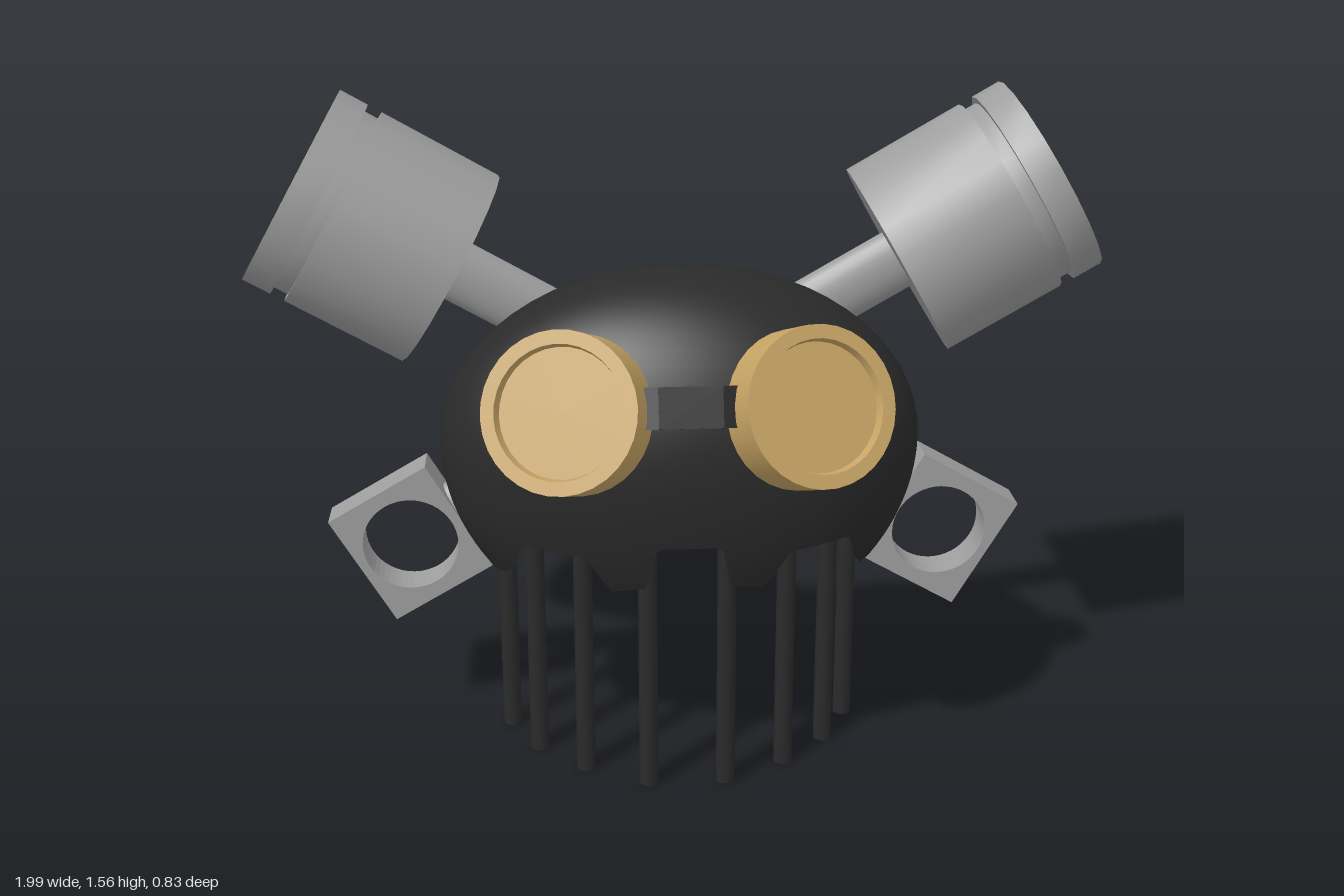
import * as THREE from 'three';
import { toCreasedNormals } from 'three/addons/utils/BufferGeometryUtils.js';

const V2 = (x, y) => new THREE.Vector2(x, y);
const V3 = (x, y, z) => new THREE.Vector3(x, y, z);

// Head dimensions: ellipsoid cut flat at the back
const MID = 0.78, TOP = 0.405, LOW = 0.5, RX = 0.555, RZ = 0.33, BACK = -0.125, FLOOR = 0.63;

function named(name, geometry, material, parent) {
  const mesh = new THREE.Mesh(geometry, material);
  mesh.name = name;
  parent.add(mesh);
  return mesh;
}

// Point on the head at height y; u runs from the left back edge round the front to the right one
function headPoint(y, u) {
  const k = (y - MID) / (y > MID ? TOP : LOW);
  const f = Math.sqrt(Math.max(0, 1 - k * k));
  const start = f < 1e-4 ? -Math.PI / 2 : Math.asin(Math.max(-1, BACK / (RZ * f)));
  const a = start + u * (Math.PI - 2 * start);
  return V3(RX * f * Math.cos(a), y, RZ * f * Math.sin(a));
}

// Ragged lower edge: angle from the front centre, height
const HEM = [[0, 0.63], [0.14, 0.63], [0.2, 0.52], [0.38, 0.505], [0.47, 0.6],
  [0.8, 0.61], [0.92, 0.54], [1.1, 0.5], [3, 0.5]];
function hemHeight(u) {
  const a = Math.abs(u - 0.5) * 4.07;
  const i = HEM.findIndex(p => p[0] > a);
  const [a0, y0] = HEM[i - 1], [a1, y1] = HEM[i];
  return y0 + (y1 - y0) * (a - a0) / (a1 - a0);
}

function headShell() {
  const cols = 140, upper = 16, lower = 12, pos = [], index = [];
  for (let i = 0; i <= upper + lower; i++) {
    for (let j = 0; j <= cols; j++) {
      const u = j / cols;
      const y = i <= upper
        ? MID + TOP * Math.cos(i / upper * Math.PI / 2)
        : MID + (hemHeight(u) - MID) * (i - upper) / lower;
      pos.push(...headPoint(y, u).toArray());
      if (i < upper + lower && j < cols) {
        const a = i * (cols + 1) + j, c = a + cols + 1;
        index.push(a, a + 1, c + 1, a, c + 1, c);
      }
    }
  }
  const g = new THREE.BufferGeometry();
  g.setAttribute('position', new THREE.Float32BufferAttribute(pos, 3));
  g.setIndex(index);
  g.computeVertexNormals();
  return g;
}

function turned(profile, segments) {
  return toCreasedNormals(new THREE.LatheGeometry(profile.map(p => V2(...p)), segments), 0.6);
}

// Piston, rod and square ring end, laid along local x
function pistonArm(steel) {
  const arm = new THREE.Group();
  const rod = new THREE.CylinderGeometry(1, 1, 1.25, 24);
  rod.rotateZ(Math.PI / 2).scale(1, 0.074, 0.045);
  named('connectingRod', rod, steel, arm).position.z = -0.005;

  const r = 0.243, groove = 0.226;
  const piston = turned([[0, 0.605], [r, 0.605], [r, 0.905], [groove, 0.905],
    [groove, 0.94], [r, 0.94], [r, 1.01], [0, 1.01]], 20);
  named('piston', piston.rotateZ(-Math.PI / 2), steel, arm);

  const w = 0.137, h = 0.151, depth = 0.095;
  const square = new THREE.Shape([V2(-w, -h), V2(w, -h), V2(w, h), V2(-w, h)]);
  square.holes.push(new THREE.Path().absarc(0, 0, 0.115, 0, Math.PI * 2, true));
  const ring = new THREE.ExtrudeGeometry(square, { depth, bevelEnabled: false, curveSegments: 24 });
  named('rodEnd', ring.translate(-0.745, 0, -depth / 2 + 0.003), steel, arm);
  return arm;
}

export function createModel() {
  const model = new THREE.Group();
  const black = new THREE.MeshStandardMaterial({ color: 0x2a2a2a, side: THREE.DoubleSide });
  black.name = 'black';
  const steel = new THREE.MeshStandardMaterial({ color: 0x9e9e9e });
  steel.name = 'steel grey';
  const brass = new THREE.MeshStandardMaterial({ color: 0xc8a566 });
  brass.name = 'brass';

  // Head
  const head = new THREE.Group();
  head.name = 'head';
  model.add(head);
  named('headShell', headShell(), black, head);

  // Flat back: the outline where the shell meets the back plane
  const outline = [];
  const half = Math.sqrt(1 - (BACK / RZ) ** 2);
  const first = -Math.asin((MID - FLOOR) / (LOW * half));
  for (let i = 0; i <= 48; i++) {
    const a = first + (Math.PI - 2 * first) * i / 48;
    outline.push(V2(RX * half * Math.cos(a), MID + (Math.sin(a) > 0 ? TOP : LOW) * half * Math.sin(a)));
  }
  const back = new THREE.ShapeGeometry(new THREE.Shape(outline));
  named('headBack', back.rotateY(Math.PI).translate(0, 0, BACK), black, head);

  // Underside
  const floorEdge = [];
  for (let i = 0; i <= 48; i++) {
    const p = headPoint(FLOOR, i / 48);
    floorEdge.push(V2(p.x, p.z));
  }
  const floor = new THREE.ShapeGeometry(new THREE.Shape(floorEdge));
  named('headFloor', floor.rotateX(Math.PI / 2).translate(0, FLOOR, 0), black, head);

  // Crossed piston arms
  [['leftPistonArm', Math.PI / 6], ['rightPistonArm', Math.PI * 5 / 6]].forEach(([name, angle]) => {
    const arm = pistonArm(steel);
    arm.name = name;
    arm.position.set(0, 0.845, -0.165);
    arm.rotation.z = angle;
    model.add(arm);
  });

  // Goggles, facing forward, up and outward
  const goggle = turned([[0, -0.2], [0.178, -0.2], [0.178, 0], [0.147, 0], [0.142, -0.02], [0, -0.02]], 32);
  for (const s of [1, -1]) {
    const cup = named(s > 0 ? 'leftGoggle' : 'rightGoggle', goggle, brass, model);
    cup.position.set(s * 0.283, 0.963, 0.335);
    cup.quaternion.setFromUnitVectors(V3(0, 1, 0), V3(s * 0.34, 0.36, 0.87).normalize());
  }

  // Bridge strap between the goggles
  const bridge = new THREE.Group();
  bridge.name = 'goggleBridge';
  bridge.position.set(0, 0.96, 0.315);
  bridge.rotation.x = -0.36;
  for (const s of [-1, 0, 1]) {
    const strap = named('strap', new THREE.BoxGeometry(0.14, 0.09, 0.05), black, bridge);
    strap.position.set(s * 0.13, 0, -Math.abs(s) * 0.018);
    strap.rotation.y = s * 0.28;
  }
  model.add(bridge);

  // Thin legs in an arc under the head
  const leg = new THREE.CylinderGeometry(0.022, 0.022, 0.66, 12).translate(0, 0.33, 0);
  for (const [x, z] of [[0.09, 0.235], [0.235, 0.155], [0.345, 0.05], [0.412, -0.078]]) {
    for (const s of [1, -1]) named('leg', leg, black, model).position.set(s * x, 0, z);
  }
  return model;
}
